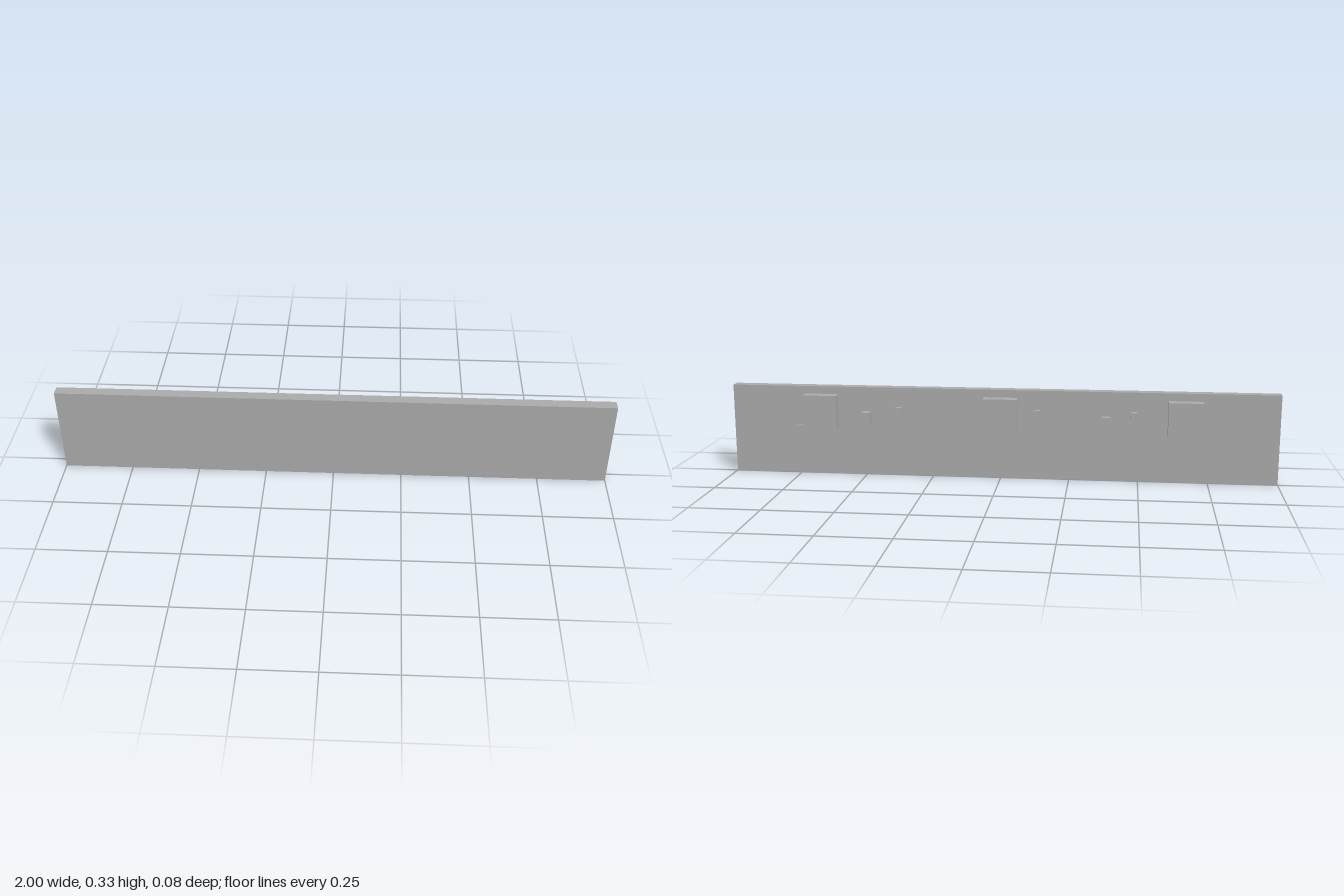
import * as THREE from 'three';

export function createModel() {
  const model = new THREE.Group();
  const grey = new THREE.MeshStandardMaterial({ color: 0xaaaaaa });
  grey.name = 'plain grey';

  // Box given by its limits on each axis
  function addBox(name, x0, x1, y0, y1, z0, z1) {
    const mesh = new THREE.Mesh(new THREE.BoxGeometry(x1 - x0, y1 - y0, z1 - z0), grey);
    mesh.position.set((x0 + x1) / 2, (y0 + y1) / 2, (z0 + z1) / 2);
    mesh.name = name;
    model.add(mesh);
  }

  // Long flat panel
  addBox('panel', -1, 1, 0, 0.328, 0, 0.039);

  // Three large mounting blocks on the back
  for (const x of [-0.665, 0, 0.665]) {
    addBox('mountingBlock', x - 0.062, x + 0.062, 0.178, 0.3, -0.039, 0);
  }

  // Small pegs on the back: x0, x1, y0, y1, depth
  const pegs = [
    [-0.492, -0.47, 0.217, 0.257, 0.021],
    [-0.396, -0.367, 0.171, 0.238, 0.026],
    [-0.145, -0.123, 0.217, 0.257, 0.021],
    [0.363, 0.385, 0.217, 0.257, 0.021],
    [0.481, 0.511, 0.188, 0.238, 0.033],
    [0.738, 0.76, 0.17, 0.182, 0.011],
  ];
  for (const [x0, x1, y0, y1, depth] of pegs) {
    addBox('peg', x0, x1, y0, y1, -depth, 0);
  }

  return model;
}
